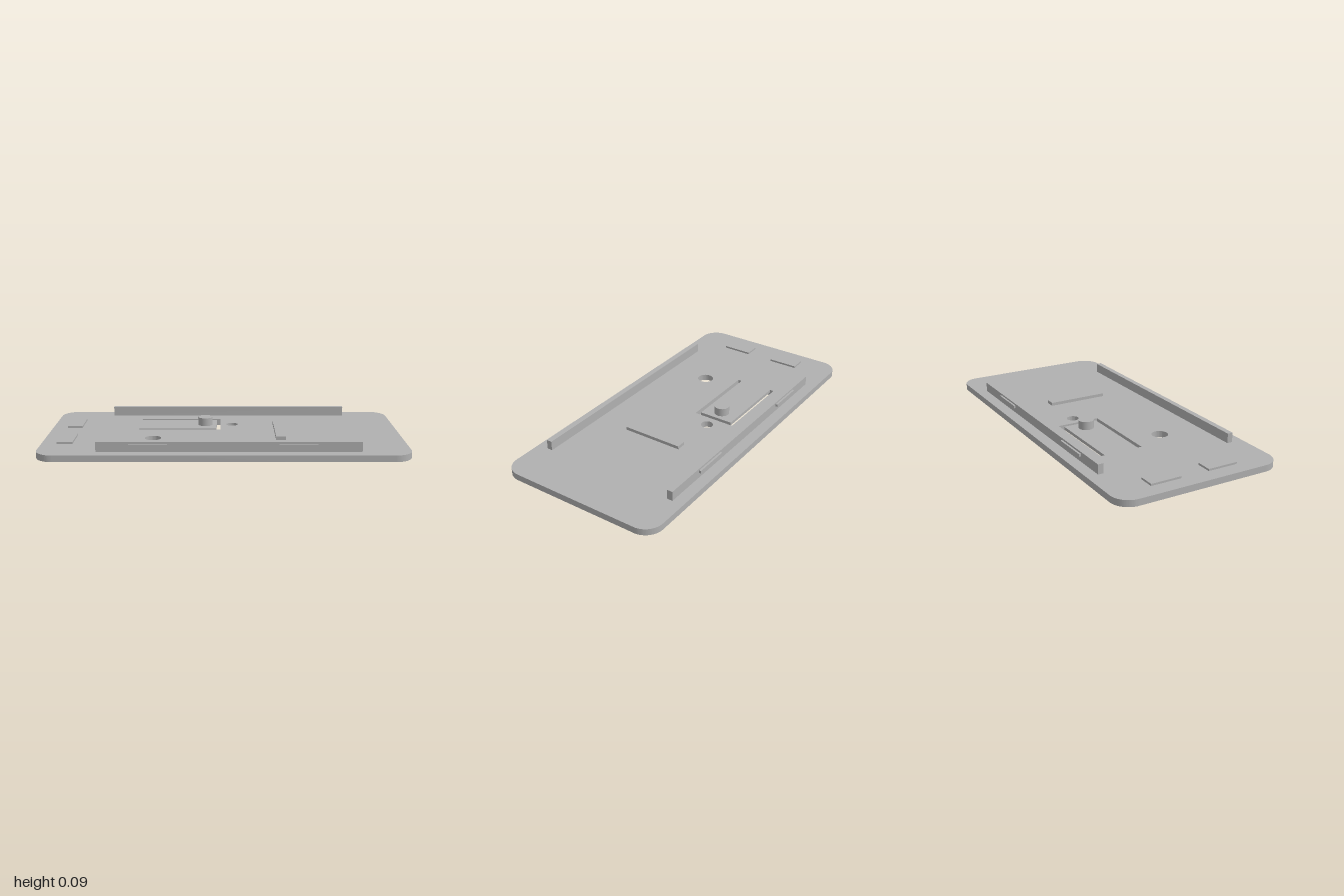
import * as THREE from 'three';
import { toCreasedNormals } from 'three/addons/utils/BufferGeometryUtils.js';

const T = 0.036; // plate thickness

export function createModel() {
  const model = new THREE.Group();
  model.name = 'coverPlate';
  const grey = new THREE.MeshStandardMaterial({ color: 0xb0b0b0 });
  grey.name = 'grey';

  const add = (name, geometry) => {
    const mesh = new THREE.Mesh(geometry, grey);
    mesh.name = name;
    model.add(mesh);
    return mesh;
  };
  // box given by its limits on each axis
  const box = (name, x0, x1, y0, y1, z0, z1) =>
    add(name, new THREE.BoxGeometry(x1 - x0, y1 - y0, z1 - z0))
      .position.set((x0 + x1) / 2, (y0 + y1) / 2, (z0 + z1) / 2);
  const disc = (name, r, y0, y1, x, z) =>
    add(name, new THREE.CylinderGeometry(r, r, y1 - y0, 40)).position.set(x, (y0 + y1) / 2, z);

  // rounded plate outline (shape y is -z)
  const w = 1, d = 0.474, r = 0.1;
  const outline = new THREE.Shape();
  outline.moveTo(-w + r, -d);
  outline.absarc(w - r, -d + r, r, -Math.PI / 2, 0);
  outline.absarc(w - r, d - r, r, 0, Math.PI / 2);
  outline.absarc(-w + r, d - r, r, Math.PI / 2, Math.PI);
  outline.absarc(-w + r, -d + r, r, Math.PI, Math.PI * 1.5);
  // two round holes and the opening around the tongue
  for (const [x, z, radius] of [[0.048, -0.165, 0.034], [-0.398, 0.136, 0.046]]) {
    outline.holes.push(new THREE.Path().absarc(x, -z, radius, 0, Math.PI * 2, true));
  }
  outline.holes.push(new THREE.Path([
    [-0.495, 0.043], [-0.495, 0.289], [-0.02, 0.289], [-0.02, 0.043],
  ].map(([x, y]) => new THREE.Vector2(x, y))));
  const plate = new THREE.ExtrudeGeometry(outline, { depth: T, bevelEnabled: false, curveSegments: 20 });
  plate.rotateX(-Math.PI / 2);
  add('plate', toCreasedNormals(plate, 0.6));

  // thin spring tongue with its post and the button underneath
  box('springTongue', -0.495, -0.043, T / 2, T, -0.266, -0.066);
  disc('post', 0.043, T - 0.005, 0.083, -0.11, -0.164);
  disc('underButton', 0.062, 0.006, T / 2 + 0.002, -0.11, -0.164);

  // stop bar across the plate
  box('stopBar', 0.29, 0.345, T, 0.054, -0.175, 0.175);

  // pads, side rails and snap ridges, mirrored front to back
  for (const s of [-1, 1]) {
    const side = s > 0 ? 'front' : 'back';
    const across = (a, b) => (s > 0 ? [a, b] : [-b, -a]);
    box(side + 'Pad', -0.915, -0.828, T, 0.047, ...across(0.082, 0.255));
    box(side + 'Rail', -0.68, 0.733, T, 0.09, ...across(0.379, 0.41));
    for (const x of [-0.403, 0.395]) {
      box(side + 'SnapRidge', x - 0.102, x + 0.102, 0.065, 0.08, ...across(0.408, 0.421));
    }
  }
  return model;
}
